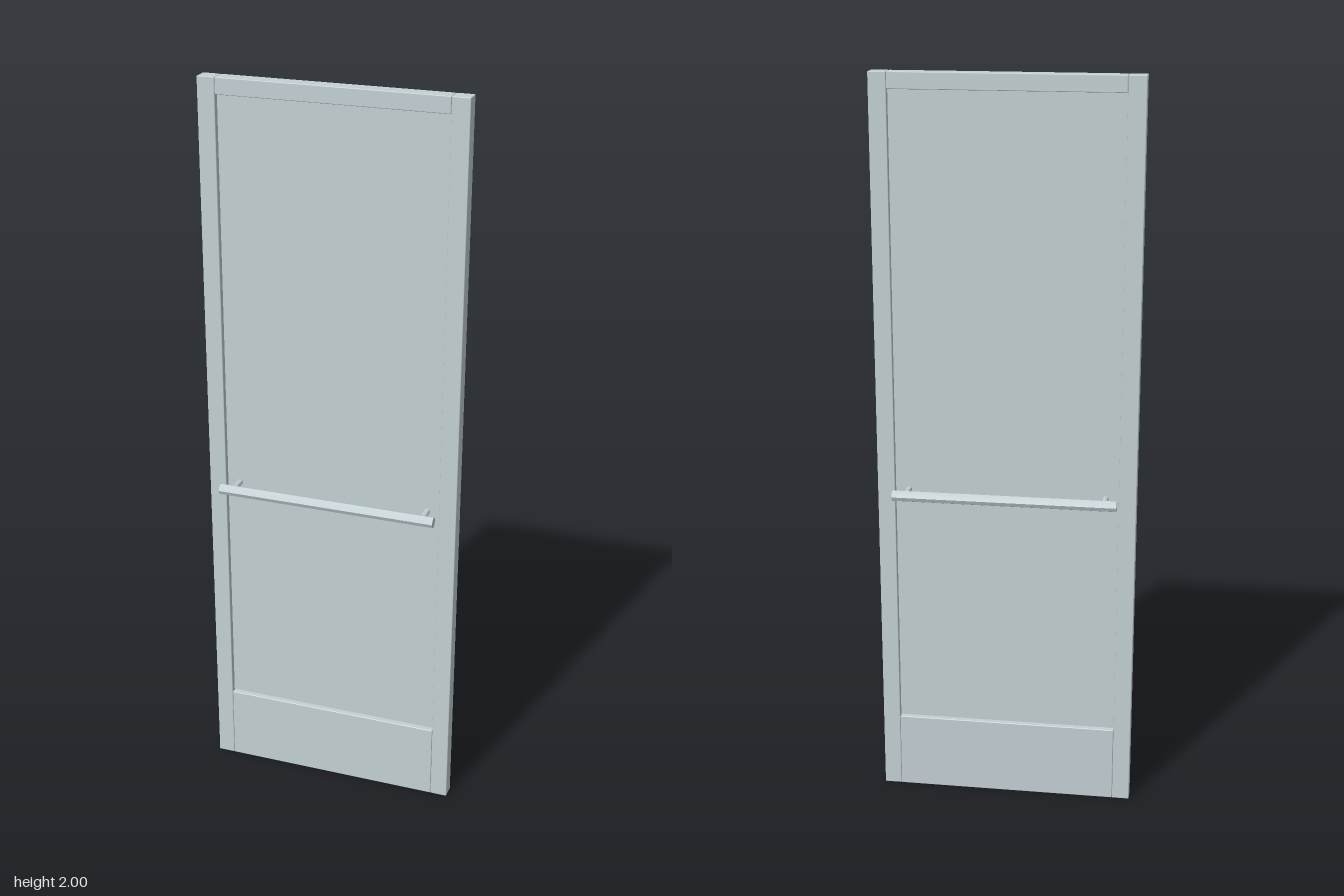
import * as THREE from 'three';
import { RoundedBoxGeometry } from 'three/addons/geometries/RoundedBoxGeometry.js';

export function createModel() {
  const door = new THREE.Group();
  door.name = 'door';
  const metal = new THREE.MeshStandardMaterial({ color: 0xc4d1d5 });
  metal.name = 'pale grey metal';

  const add = (name, geometry, x, y, z) => {
    const mesh = new THREE.Mesh(geometry, metal);
    mesh.name = name;
    mesh.position.set(x, y, z);
    door.add(mesh);
    return mesh;
  };
  // Frame member with softened edges, placed by its bottom height
  const member = (name, w, h, x, bottom) =>
    add(name, new RoundedBoxGeometry(w, h, 0.041, 1, 0.002), x, bottom + h / 2, 0);
  // Bar with crisp facets and the corners on the axes
  const rod = (radius, length) =>
    new THREE.CylinderGeometry(radius, radius, length, 8).toNonIndexed();
  const faceted = (geometry) => {
    geometry.computeVertexNormals();
    return geometry;
  };

  // Frame
  member('leftStile', 0.047, 2, 0.3255, 0);
  member('rightStile', 0.047, 2, -0.3255, 0);
  member('topRail', 0.603, 0.043, 0, 1.957);
  member('bottomRail', 0.603, 0.212, 0, 0);

  // Recessed panel
  add('panel', new THREE.BoxGeometry(0.61, 1.76, 0.01), 0, 1.085, 0);

  // Push bars with their standoffs on both faces
  const barY = 0.893, barZ = 0.0635;
  for (const side of [1, -1]) {
    const face = side > 0 ? 'front' : 'back';
    add(face + 'PushBar', faceted(rod(0.0148, 0.6)), 0, barY, side * barZ).rotation.z = Math.PI / 2;
    for (const x of [0.266, -0.266]) {
      add(face + 'Standoff', faceted(rod(0.0078, 0.06)), x, barY, side * 0.033).rotation.x = Math.PI / 2;
    }
  }
  return door;
}
